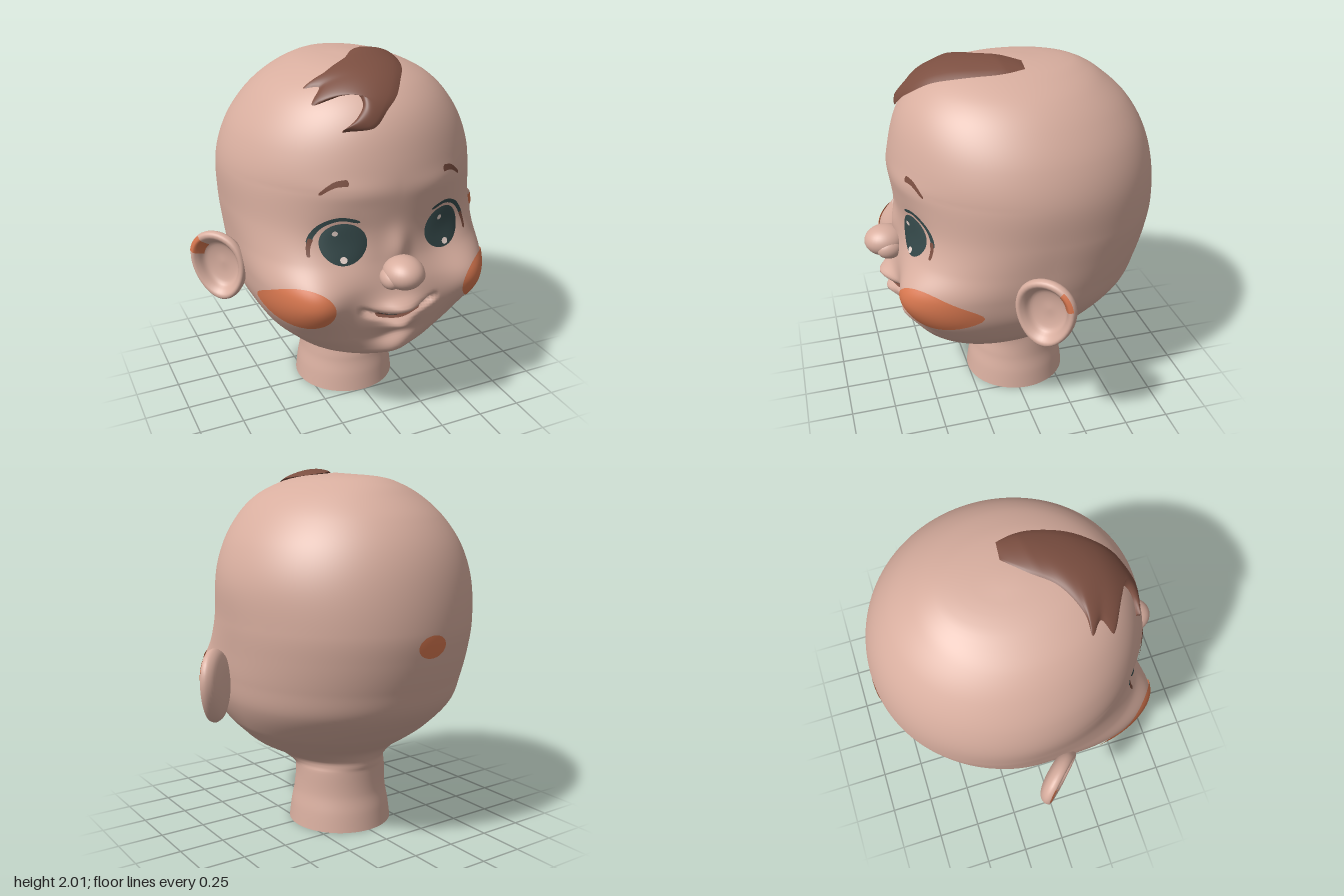
import * as THREE from 'three';
import { mergeVertices } from 'three/addons/utils/BufferGeometryUtils.js';

const mat = (name, color, side = THREE.FrontSide) => {
  const m = new THREE.MeshStandardMaterial({ color, side });
  m.name = name;
  return m;
};

// Head and neck sections: height, half width, front z, back z, squareness of the front half
const ROWS = [
  [0, .295, .25, -.345, 2], [.1, .283, .235, -.33, 2], [.2, .266, .215, -.31, 2],
  [.34, .26, .21, -.305, 2], [.365, .265, .3, -.31, 2], [.4, .3, .47, -.315, 2],
  [.46, .41, .56, -.35, 2.2], [.52, .48, .595, -.44, 2.4], [.6, .555, .62, -.55, 2.8],
  [.75, .635, .65, -.7, 3.5], [.9, .665, .655, -.76, 3.5], [1.05, .68, .63, -.8, 2.8],
  [1.2, .693, .63, -.82, 2.3], [1.42, .697, .655, -.8, 2], [1.6, .645, .63, -.745, 2],
  [1.75, .55, .575, -.65, 2], [1.86, .435, .485, -.53, 2], [1.93, .3, .37, -.42, 2],
  [1.965, .18, .23, -.29, 2], [1.985, 0, 0, 0, 2],
];

// Facial relief, mirrored in x: x, y, spread x, spread y, depth
const BUMPS = [
  [.45, .86, .17, .15, .07],   // cheeks
  [.28, 1.15, .13, .12, -.03], // eye sockets
  [.25, 1.42, .2, .06, .01],   // brow ridges
  [0, 1.1, .06, .1, .03],      // nose bridge
  [0, .76, .15, .1, .06],      // muzzle
  [0, .795, .1, .03, .04],     // upper lip
  [0, .675, .08, .03, .045],   // lower lip
  [0, .59, .1, .03, -.025],    // groove under the lip
  [0, .5, .11, .06, .045],     // chin
];

// Smooth section at height y
function section(y) {
  let i = 0;
  while (i < ROWS.length - 2 && y > ROWS[i + 1][0]) i++;
  const A = ROWS[i], B = ROWS[i + 1], P = ROWS[Math.max(0, i - 1)], N = ROWS[Math.min(ROWS.length - 1, i + 2)];
  const h = B[0] - A[0], t = (y - A[0]) / h, t2 = t * t, t3 = t2 * t;
  const [w, zf, zb, p] = [1, 2, 3, 4].map(k => {
    const ma = (B[k] - P[k]) / (B[0] - P[0]), mb = (N[k] - A[k]) / (N[0] - A[0]);
    return (2 * t3 - 3 * t2 + 1) * A[k] + (t3 - 2 * t2 + t) * h * ma + (3 * t2 - 2 * t3) * B[k] + (t3 - t2) * h * mb;
  });
  return { w: Math.max(w, 0), zc: (zf + zb) / 2, d: Math.max((zf - zb) / 2, 0), p: Math.max(p, 2) };
}

function relief(x, y) {
  const ax = Math.abs(x);
  let s = 0;
  for (const [bx, by, sx, sy, a] of BUMPS) s += a * Math.exp(-(((ax - bx) / sx) ** 2) - ((y - by) / sy) ** 2);
  // smiling mouth line
  const line = (y - .735 - 1.2 * x * x) / .02;
  return s - .045 * Math.exp(-line * line) * THREE.MathUtils.smoothstep(.24 - ax, 0, .06);
}

function frontZ(x, y) {
  const { w, zc, d, p } = section(y);
  const k = Math.pow(1 - Math.min(1, Math.abs(x / w)) ** p, 1 / p);
  return zc + d * k + relief(x, y) * Math.min(1, 2.5 * k);
}

function headPoint(a, y) {
  const { w, zc, d, p } = section(y);
  const s = Math.sin(a), c = Math.cos(a), q = c > 0 ? p : 2;
  const r = Math.pow(Math.abs(s) ** q + Math.abs(c) ** q, -1 / q);
  const x = w * r * s;
  let z = zc + d * r * c;
  if (c > 0) z += relief(x, y) * Math.min(1, 2.5 * r * c);
  return [x, y, z];
}

// Height of the scalp above a point of the plan
function scalpY(x, z) {
  let lo = 1.42, hi = 1.985;
  for (let i = 0; i < 30; i++) {
    const y = (lo + hi) / 2, { w, zc, d } = section(y);
    if ((x / w) ** 2 + ((z - zc) / d) ** 2 < 1) lo = y; else hi = y;
  }
  return lo;
}

// Grid surface from fn(u, v), with seams welded
function grid(fn, us, vs) {
  const pos = [], idx = [], n = us.length;
  for (const v of vs) for (const u of us) pos.push(...fn(u, v));
  for (let j = 0; j < vs.length - 1; j++) for (let i = 0; i < n - 1; i++) {
    const a = j * n + i, c = a + n;
    idx.push(a, a + 1, c, a + 1, c + 1, c);
  }
  let g = new THREE.BufferGeometry();
  g.setAttribute('position', new THREE.Float32BufferAttribute(pos, 3));
  g.setIndex(idx);
  g = mergeVertices(g, 1e-5);
  g.computeVertexNormals();
  return g;
}
const steps = (n, a = 0, b = 1) => Array.from({ length: n + 1 }, (_, i) => a + (b - a) * i / n);

// Point on the face, lifted slightly outward
function facePoint(x, y, lift) {
  const z = frontZ(x, y), l = Math.hypot(x, z);
  return [x + x / l * lift, y, z + z / l * lift];
}

// Oval painted on the face, optionally domed
const oval = (cx, cy, rx, ry, lift, dome = 0) => grid((a, v) => {
  const r = 1 - v;
  return facePoint(cx + rx * r * Math.cos(a), cy + ry * r * Math.sin(a), lift + dome * (1 - r * r));
}, steps(36, 0, Math.PI * 2), steps(10));

// Painted brush stroke on the face, tapering from width w0 to w1
function stroke(pts, w0, w1, side, lift = .005) {
  const curve = new THREE.SplineCurve(pts.map(p => new THREE.Vector2(p[0] * side, p[1])));
  return grid((u, v) => {
    const p = curve.getPoint(u), t = curve.getTangent(u);
    const w = (v - .5) * (w0 + (w1 - w0) * u) * Math.min(1, Math.sqrt(12 * u * (1 - u)) + .1);
    return facePoint(p.x - t.y * w, p.y + t.x * w, lift);
  }, steps(24), steps(4));
}

// Dish-shaped ear part from a lathe, laid into the slanted ear plane
function earPart(profile, side, start = 0, length = Math.PI * 2) {
  const curve = new THREE.SplineCurve(profile.map(p => new THREE.Vector2(...p)));
  const pts = curve.getPoints(36).map(p => new THREE.Vector2(Math.max(p.x, 0), p.y));
  let g = new THREE.LatheGeometry(pts, 40, start, length);
  g.deleteAttribute('uv');
  g.deleteAttribute('normal');
  const p = g.attributes.position;
  for (let i = 0; i < p.count; i++) {
    const v = p.getZ(i), u = p.getX(i) * .165 * (1 + .16 * v) + .012 * v, n = p.getY(i);
    p.setXYZ(i, side * (.75 + .69 * u + .72 * n), .875 + .2 * v, -.005 - .72 * u + .69 * n);
  }
  if (side > 0) g.setIndex(Array.from(g.index.array).reverse());
  g = mergeVertices(g, 1e-5);
  g.computeVertexNormals();
  return g;
}

export function createModel() {
  const root = new THREE.Group();
  root.name = 'babyHead';
  const D = THREE.DoubleSide;
  const skin = mat('skin', 0xd8ae9f), blush = mat('blush', 0xd97850, D), brown = mat('hairBrown', 0x7c4f41, D);
  const teal = mat('eyeTeal', 0x35494a, D), pale = mat('eyeHighlight', 0xecd8d0, D);
  const add = (name, geo, m) => {
    const mesh = new THREE.Mesh(geo, m);
    mesh.name = name;
    root.add(mesh);
    return mesh;
  };
  const ball = (name, x, y, z, rx, ry, rz) => {
    const b = add(name, new THREE.SphereGeometry(1, 32, 24), skin);
    b.position.set(x, y, z);
    b.scale.set(rx, ry, rz);
  };

  // Head and neck in one skin, denser toward the face
  const angles = steps(180, -Math.PI, Math.PI).map(a => a - .35 * Math.sin(a));
  const heights = [0];
  for (let i = 1; i < ROWS.length; i++) {
    const a = ROWS[i - 1][0], b = ROWS[i][0];
    heights.push(...steps(Math.max(3, Math.ceil((b - a) / .013)), a, b).slice(1));
  }
  add('headAndNeck', grid(headPoint, angles, heights), skin);
  const base = add('neckBase', new THREE.CircleGeometry(1, 48).rotateX(Math.PI / 2), skin);
  base.scale.set(.295, 1, .2975);
  base.position.z = -.0475;

  // Nose
  ball('noseTip', 0, .99, .7, .105, .085, .117);
  for (const s of [-1, 1]) ball('nostrilWing', s * .07, .965, .69, .05, .055, .07);

  // Mouth
  const smile = [[-.13, .757], [-.06, .742], [0, .737], [.06, .742], [.13, .757]];
  add('mouth', stroke(smile, .034, .034, 1), brown);
  add('mouthLine', stroke(smile.map(([x, y]) => [x * .85, y + .003]), .014, .014, 1, .009), teal);

  // Paired features
  const ear = [[0, -.045], [.5, -.04], [.85, -.02], [1, .015], [.97, .045], [.86, .05], [.74, .03], [.6, -.005], [.3, -.02], [0, -.02]];
  const earSpot = [[.985, .047], [.865, .054], [.745, .034], [.62, .004]];
  for (const s of [-1, 1]) {
    add('ear', earPart(ear, s), skin);
    add('earBlush', earPart(earSpot, s, .55, .65), blush);
    add('cheekBlush', oval(s * .503, .832, .14, .12, .008), blush);
    add('eye', oval(s * .277, 1.15, .115, .11, .006, .02), teal);
    add('eyeGlintTop', oval(s * .277 - .035, 1.212, .014, .014, .026), pale);
    add('eyeGlintBottom', oval(s * .28, 1.073, .018, .016, .022), pale);
    add('lashes', stroke([[.2, 1.265], [.29, 1.285], [.37, 1.255], [.42, 1.2], [.44, 1.15]], .018, .026, s), teal);
    add('lashCorner', stroke([[.425, 1.18], [.44, 1.14], [.446, 1.09]], .024, .016, s, .007), brown);
    add('eyebrow', stroke([[.26, 1.478], [.31, 1.472], [.35, 1.45], [.39, 1.415]], .036, .012, s), brown);
  }

  // Small oval on the back of the head
  add('backSpot', grid((a, v) => {
    const x = -.03 - (1 - v) * .09 * Math.cos(a), y = 1.13 + (1 - v) * .06 * Math.sin(a);
    const { w, zc, d } = section(y);
    return [x, y, zc - d * Math.sqrt(1 - (x / w) ** 2) - .005];
  }, steps(32, 0, Math.PI * 2), steps(6)), blush);

  // Swept forelock between two edges drawn in plan (x, z)
  const edge = pts => new THREE.SplineCurve(pts.map(p => new THREE.Vector2(...p)));
  const left = edge([[.1, -.05], [0, .05], [-.1, .17], [-.25, .25], [-.35, .26], [-.29, .32], [-.35, .37],
    [-.27, .41], [-.16, .44], [-.14, .5], [-.19, .53], [-.26, .53]]);
  const right = edge([[.2, -.04], [.22, .05], [.215, .15], [.17, .3], [.1, .42], [.04, .5], [-.03, .545],
    [-.1, .575], [-.17, .565], [-.26, .53]]);
  add('forelock', grid((u, v) => {
    const a = left.getPoint(u), b = right.getPoint(u), x = a.x + (b.x - a.x) * v, z = a.y + (b.y - a.y) * v;
    const y = scalpY(x, z), dir = new THREE.Vector3(x, y - 1.2, z).normalize();
    const lift = .008 + .024 * Math.pow(Math.sin(Math.PI * v), .6) * Math.min(1, 8 * u);
    return [x + dir.x * lift, y + dir.y * lift, z + dir.z * lift];
  }, steps(70), steps(20)), brown);

  return root;
}
